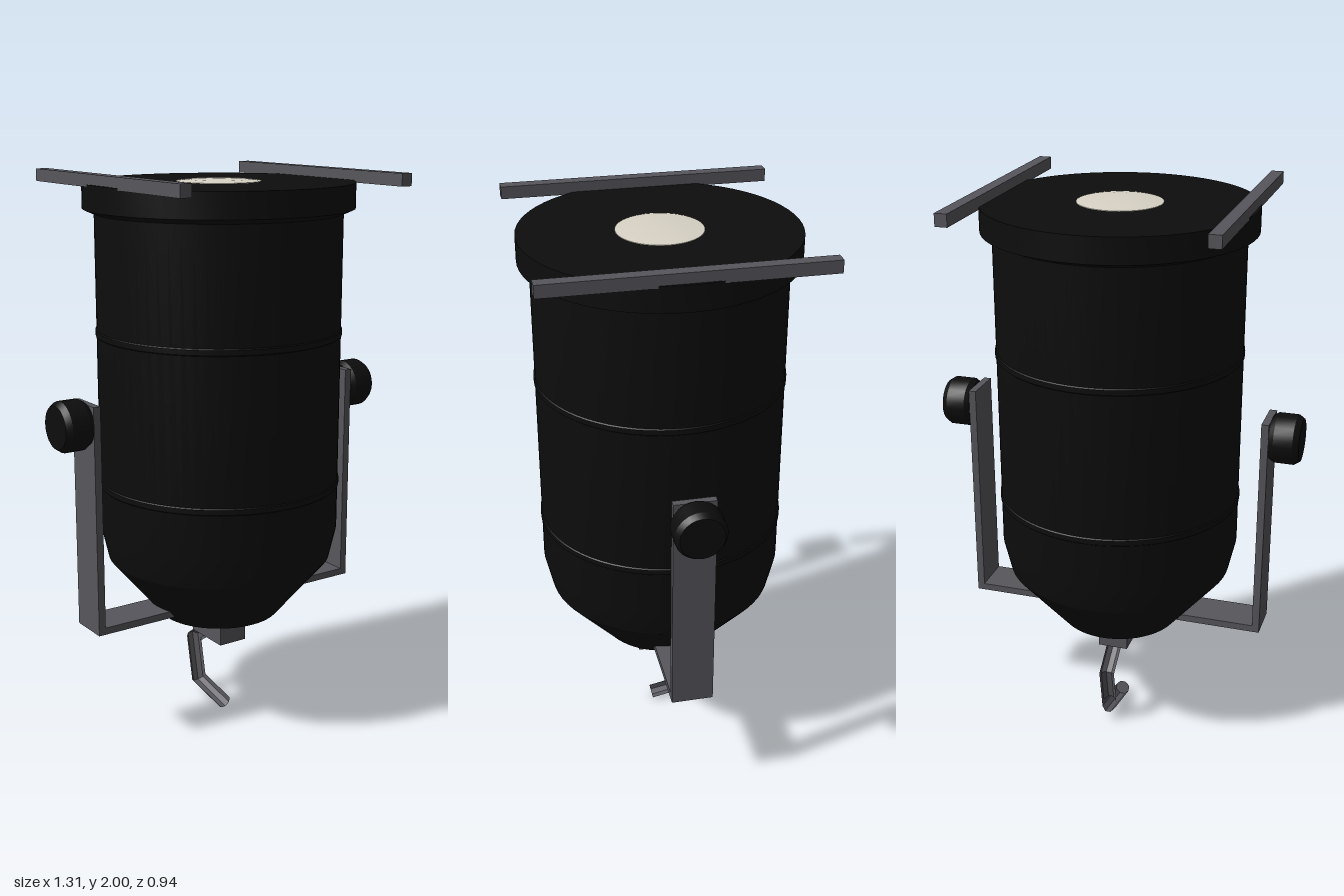
import * as THREE from 'three';
import { toCreasedNormals } from 'three/addons/utils/BufferGeometryUtils.js';

const black = new THREE.MeshStandardMaterial({ color: 0x0d0d0d });
black.name = 'matte black';
const grey = new THREE.MeshStandardMaterial({ color: 0x57565c });
grey.name = 'steel grey';
const cream = new THREE.MeshStandardMaterial({ color: 0xd8d3c5 });
cream.name = 'lens cream';

function add(parent, name, geometry, material, x = 0, y = 0, z = 0) {
  const mesh = new THREE.Mesh(geometry, material);
  mesh.name = name;
  mesh.position.set(x, y, z);
  parent.add(mesh);
  return mesh;
}

// Turned part from [radius, height] pairs, bottom to top
function turned(profile, sides) {
  const points = profile.map(([r, y]) => new THREE.Vector2(r, y));
  return toCreasedNormals(new THREE.LatheGeometry(points, sides), 0.35);
}

// Bent rod in the YZ plane with mitred corners and capped ends; path is [z, y] pairs
function bentRod(path, radius, sides) {
  const pts = path.map(([z, y]) => new THREE.Vector2(z, y));
  const last = pts.length - 1;
  const positions = [];
  const index = [];
  pts.forEach((p, i) => {
    const a = pts[Math.max(i - 1, 0)], b = pts[Math.min(i + 1, last)];
    const before = (i > 0 ? p.clone().sub(a) : b.clone().sub(p)).normalize();
    const after = (i < last ? b.clone().sub(p) : before.clone()).normalize();
    const dir = before.clone().add(after).normalize();
    const reach = radius / dir.dot(before);
    for (let j = 0; j < sides; j++) {
      const t = (j + 0.5) / sides * Math.PI * 2;
      const c = Math.cos(t) * reach;
      positions.push(Math.sin(t) * radius, p.y + dir.x * c, p.x - dir.y * c);
    }
  });
  for (let i = 0; i < last; i++) {
    for (let j = 0; j < sides; j++) {
      const k = (j + 1) % sides;
      const a = i * sides + j, b = i * sides + k;
      index.push(a, b, a + sides, b, b + sides, a + sides);
    }
  }
  for (let j = 1; j < sides - 1; j++) {
    index.push(0, j + 1, j);
    const e = last * sides;
    index.push(e, e + j, e + j + 1);
  }
  const g = new THREE.BufferGeometry();
  g.setAttribute('position', new THREE.Float32BufferAttribute(positions, 3));
  g.setIndex(index);
  return toCreasedNormals(g, 0.35);
}

export function createModel() {
  const model = new THREE.Group();
  model.name = 'stageLamp';

  // Housing with tapered base and wider front rim
  add(model, 'housing', turned([
    [0, 0.405], [0.22, 0.405], [0.405, 0.625], [0.43, 0.735], [0.43, 1.86],
    [0.47, 1.877], [0.47, 1.965], [0, 1.965],
  ], 64), black);

  // Seam bands round the housing
  for (const y of [0.91, 1.45]) {
    add(model, 'seamBand', turned([
      [0.428, -0.014], [0.434, -0.009], [0.434, 0.009], [0.428, 0.014],
    ], 64), black, 0, y);
  }

  // Shallow domed lens
  add(model, 'lens', turned([
    [0.147, 1.964], [0.147, 1.967], [0.1, 1.972], [0.05, 1.974], [0, 1.975],
  ], 48), cream);

  // Yoke crossbar
  add(model, 'yokeCrossbar', new THREE.BoxGeometry(1.1, 0.025, 0.146), grey, 0, 0.4525);

  const knob = turned([
    [0, 0], [0.077, 0], [0.088, 0.018], [0.088, 0.085], [0.075, 0.105], [0, 0.105],
  ], 24);
  for (const s of [-1, 1]) {
    const side = s > 0 ? 'left' : 'right';
    // Yoke arm, tightening knob and filter rail on each side
    add(model, side + 'YokeArm', new THREE.BoxGeometry(0.026, 0.815, 0.146), grey, s * 0.537, 0.8475);
    add(model, side + 'Knob', knob, black, s * 0.55, 1.185).rotation.z = -s * Math.PI / 2;
    add(model, side + 'FilterRail', new THREE.BoxGeometry(0.043, 0.043, 0.94), grey, s * 0.437, 1.9785);
  }

  // Mounting block and hook
  add(model, 'mountingBlock', new THREE.BoxGeometry(0.11, 0.125, 0.184), grey, 0, 0.3525);
  add(model, 'hook', bentRod(
    [[-0.07, 0.293], [-0.17, 0.218], [-0.138, 0.062], [0.035, 0.027]], 0.027, 8), grey);

  return model;
}
